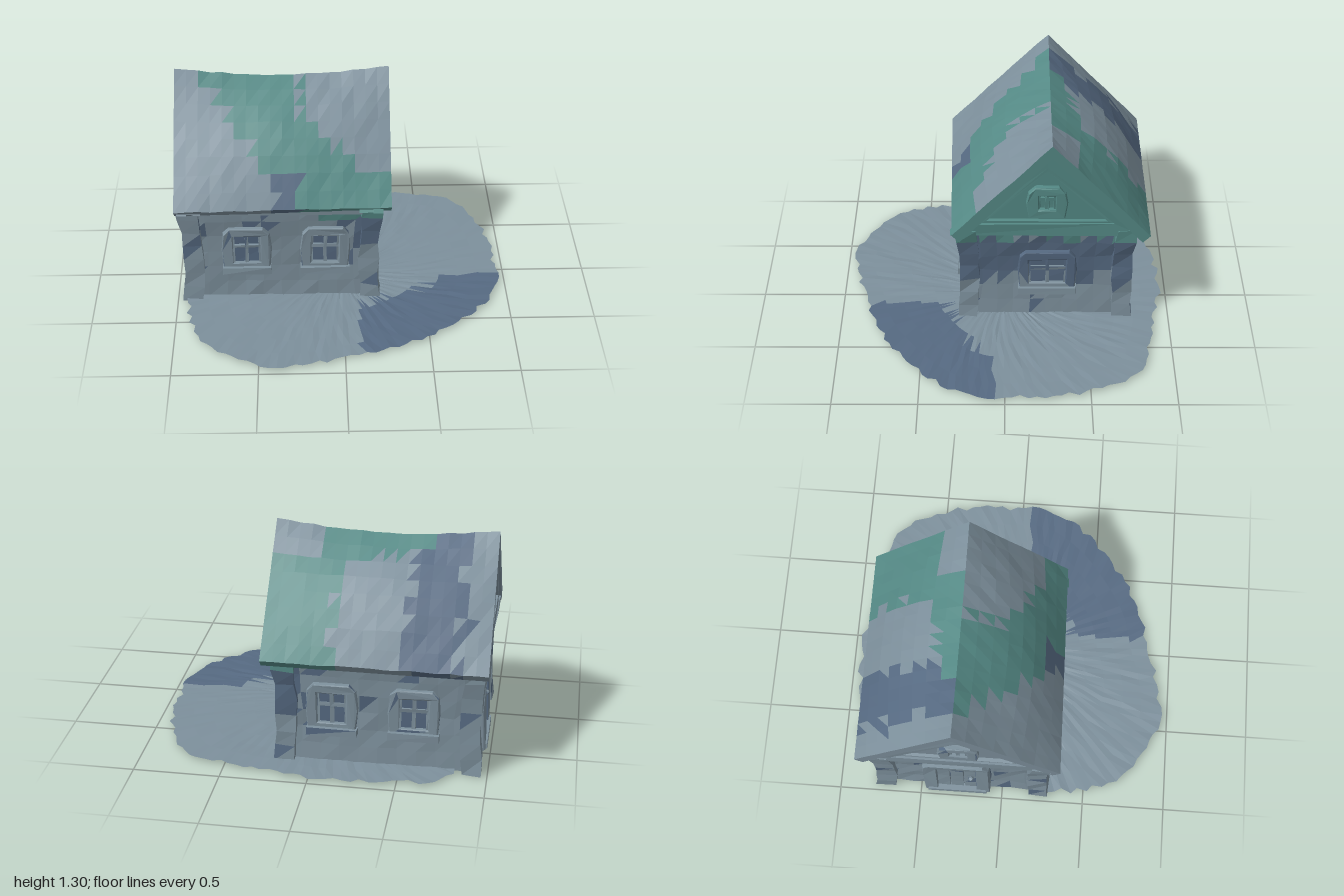
import * as THREE from 'three';

const GREY = 0x7d909c, TEAL = 0x558a86, BLUE = 0x566a82;
const CX = -0.37, CZ = -0.245;      // centre of the house
const HX = 0.56, HZ = 0.495;        // half size of the wall body

// repeatable noise in -1..1 from a position
function noise(x, y, z) {
  const s = Math.sin(Math.round(x * 500) * 12.99 + Math.round(y * 500) * 78.23 + Math.round(z * 500) * 37.72) * 43758.55;
  return (s - Math.floor(s)) * 2 - 1;
}

const materials = {};
function material(color) {
  materials[color] ??= new THREE.MeshStandardMaterial({ color, flatShading: true, side: THREE.DoubleSide });
  return materials[color];
}

// splits a geometry into one mesh per colour, chosen at each triangle's centre
function painted(name, geometry, colorAt) {
  const pos = (geometry.index ? geometry.toNonIndexed() : geometry).attributes.position.array;
  const buckets = new Map();
  for (let i = 0; i < pos.length; i += 9) {
    const mid = [0, 1, 2].map(k => (pos[i + k] + pos[i + 3 + k] + pos[i + 6 + k]) / 3);
    const color = colorAt(...mid);
    if (!buckets.has(color)) buckets.set(color, []);
    for (let k = 0; k < 9; k++) buckets.get(color).push(pos[i + k]);
  }
  const group = new THREE.Group();
  group.name = name;
  for (const [color, points] of buckets) {
    const g = new THREE.BufferGeometry();
    g.setAttribute('position', new THREE.Float32BufferAttribute(points, 3));
    g.computeVertexNormals();
    const mesh = new THREE.Mesh(g, material(color));
    mesh.name = name + 'Surface';
    group.add(mesh);
  }
  return group;
}

// pinches the walls at mid height, flares them at the top and roughens them
function warp(geometry, rough = 0.006) {
  const p = geometry.attributes.position;
  for (let i = 0; i < p.count; i++) {
    const x = p.getX(i), y = p.getY(i), z = p.getZ(i);
    const t = THREE.MathUtils.clamp(y / 0.65, 0, 1);
    const k = 1 - 0.04 * Math.sin(Math.PI * t) + 0.02 * t;
    p.setXYZ(i, CX + (x - CX) * k + rough * noise(x, y, z),
      y < 0.02 ? y : y + rough * noise(y, z, x), CZ + (z - CZ) * k + rough * noise(z, x, y));
  }
  return geometry;
}

function wallColor(x, y, z) {
  const n = noise(x, y, z);
  if (x > 0.1) {
    if (y > 0.62 + 0.04 * n) return TEAL;
    if (y > 0.33 + 0.08 * n && y < 0.6) return BLUE;
  }
  if (z > 0.15 && x > -0.15 && y > 0.55) return TEAL;
  return n > 0.86 ? BLUE : GREY;
}

// places a geometry built in (along, up, outward) coordinates against a wall
function onWall(angle, geometry) {
  return geometry.rotateY(angle).translate(CX, 0, CZ);
}
const block = (w, h, d, x, y, z) => new THREE.BoxGeometry(w, h, d, 1, Math.max(1, Math.round(h / 0.1)), 1).translate(x, y, z);
const polygon = points => points.map(([x, y]) => new THREE.Vector2(x, y));

// a chunky frame with chamfered corners around a rectangular opening
function frameGeometry(w, h, t, depth, open = false) {
  const a = w / 2, b = h / 2, c = 0.035;
  const low = open ? -b + 0.001 : -b + t;
  const shape = new THREE.Shape(polygon([[-a, -b], [a, -b], [a + 0.012, 0], [a, b - c], [a - c, b], [-a + c, b], [-a, b - c], [-a - 0.012, 0]]));
  shape.holes.push(new THREE.Path(polygon([[-a + t, low], [-a + t, b - t], [a - t, b - t], [a - t, low]])));
  return new THREE.ExtrudeGeometry(shape, { depth, bevelEnabled: true, bevelSize: 0.006, bevelThickness: 0.006, bevelSegments: 1 });
}

function makeWindow(name, angle, u, y, w, h, out, sill = true) {
  const group = new THREE.Group();
  group.name = name;
  const t = 0.045;
  const add = (part, g, color = wallColor) => group.add(painted(part, warp(onWall(angle, g), 0.003), color));
  add('windowFrame', frameGeometry(w, h, t, 0.035).translate(u, y, out - 0.008));
  add('windowPane', block(w - t, h - t, 0.01, u, y, out + 0.001), (x, py) => (x > 0.1 && py > 0.65 ? TEAL : BLUE));
  add('uprightBar', block(0.022, h - t, 0.022, u, y, out + 0.01));
  add('crossBar', block(w - t, 0.022, 0.02, u, y + 0.02, out + 0.01));
  for (const s of [-1, 1]) {
    add('sashSide', block(0.018, h - 2 * t, 0.018, u + s * (w / 2 - t - 0.008), y, out + 0.01));
  }
  if (sill) add('windowSill', block(w + 0.03, 0.045, 0.06, u, y - h / 2 + 0.005, out + 0.025));
  return group;
}

function makeDoor(angle, u, out) {
  const group = new THREE.Group();
  group.name = 'door';
  const add = (part, g) => group.add(painted(part, warp(onWall(angle, g), 0.003), wallColor));
  add('doorFrame', frameGeometry(0.39, 0.5, 0.07, 0.04, true).translate(u, 0.26, out - 0.008));
  for (let i = -1; i <= 1; i++) add('doorPlank', block(0.08, 0.43, 0.025, u + i * 0.085, 0.225, out + 0.006));
  add('doorHandle', new THREE.IcosahedronGeometry(0.018, 0).translate(u + 0.09, 0.24, out + 0.035));
  add('doorStep', block(0.36, 0.03, 0.06, u, 0.025, out + 0.02));
  return group;
}

// gable wall with a raised triangular trim
function makeGable(angle) {
  const group = new THREE.Group();
  group.name = 'gable';
  const tri = (half, low, top) => polygon([[-half, low], [half, low], [0, top]]);
  const add = (part, shape, depth, z) => group.add(painted(part,
    warp(onWall(angle, new THREE.ExtrudeGeometry(shape, { depth, bevelEnabled: false }).translate(0, 0, z)), 0.004), wallColor));
  add('gableWall', new THREE.Shape(tri(0.55, 0.645, 1.2)), 0.1, HX - 0.1);
  const outer = new THREE.Shape(tri(0.56, 0.645, 1.22));
  outer.holes.push(new THREE.Path(tri(0.39, 0.725, 1.125)));
  add('gableTrim', outer, 0.055, HX - 0.02);
  const inner = new THREE.Shape(tri(0.41, 0.71, 1.14));
  inner.holes.push(new THREE.Path(tri(0.35, 0.74, 1.095)));
  add('innerTrim', inner, 0.03, HX - 0.01);
  return group;
}

// thick sagging roof built from one closed cross-section per station
function makeRoof() {
  const N = 8, STATIONS = 18, x0 = -0.99, x1 = 0.285, sections = [];
  for (let i = 0; i <= STATIONS; i++) {
    const t = i / STATIONS, swell = Math.sin(Math.PI * t), outer = [], inner = [];
    const x = THREE.MathUtils.lerp(x0, x1, t);
    for (let j = -N; j <= N; j++) {
      const s = 1 - Math.abs(j) / N, side = j < 0 ? 1 : -1;
      const bulge = 0.05 * swell * Math.sin(Math.PI * s);
      const ridge = 1.305 - 0.05 * swell;
      const reach = (side > 0 ? 0.615 - 0.03 * t : 0.585) * (1 - s);
      const y = 0.68 + (ridge - 0.68) * s + bulge, z = -0.27 + side * (reach + (s < 1 ? bulge : 0));
      const wob = 0.005 * noise(x, y, z);
      outer.push([x, y + wob, z]);
      inner.push([x, y - 0.05 - 0.035 * s, z - side * 0.045 * (1 - s)]);
    }
    sections.push(outer.concat(inner.reverse()));
  }
  const pts = [], M = 4 * N + 2;
  const quad = (a, b, c, d) => pts.push(...a, ...b, ...c, ...a, ...c, ...d);
  for (let i = 0; i < STATIONS; i++) {
    const A = sections[i], B = sections[i + 1];
    for (let j = 0; j < M; j++) quad(A[j], B[j], B[(j + 1) % M], A[(j + 1) % M]);
  }
  const L = sections[0], R = sections[STATIONS];
  for (let j = 0; j < 2 * N; j++) {
    const k = M - 1 - j;
    quad(R[j], R[k], R[k - 1], R[j + 1]);
    quad(L[j + 1], L[k - 1], L[k], L[j]);
  }
  const g = new THREE.BufferGeometry();
  g.setAttribute('position', new THREE.Float32BufferAttribute(pts, 3));
  return painted('roof', g, (x, y, z) => {
    const n = 0.06 * noise(x, y, z);
    if (x > 0.27) return TEAL;
    if (z > -0.27) {
      const from = -0.85 + (1.3 - y) * 0.9, to = -0.25 + Math.max(0, 1.1 - y) * 1.6;
      if (Math.abs(x + 0.37 + n) < 0.08 && y < 0.88) return BLUE;
      return x + n > from && x + n < to ? TEAL : GREY;
    }
    if (x + n > -0.12 && z < -0.42) return TEAL;
    if (x + n > -0.6 && x < 0 && z > -0.45 + 0.3 * (-0.1 - x) * 0.5) return TEAL;
    return x + n > -0.83 && x + n < -0.52 ? BLUE : GREY;
  });
}

// flat patch of ground with a ragged outline
function makeGround() {
  const outline = new THREE.CatmullRomCurve3([
    [-0.93, 0.37], [-0.84, 0.68], [-0.7, 0.84], [-0.46, 0.95], [-0.2, 0.93], [0, 0.87], [0.3, 0.79], [0.54, 0.65],
    [0.78, 0.45], [0.94, 0.2], [0.95, -0.15], [0.91, -0.45], [0.8, -0.7], [0.7, -0.8], [0.43, -0.87], [0.2, -0.91],
    [0, -0.96], [-0.3, -0.95], [-0.5, -0.91], [-0.68, -0.92], [-0.8, -0.8], [-0.86, -0.5], [-0.88, 0],
  ].map(([x, z]) => new THREE.Vector3(x, 0, z)), true);
  const SEG = 130, RINGS = 8, pts = [];
  const edge = outline.getSpacedPoints(SEG);
  const at = (i, r) => {
    const p = edge[i % SEG], k = r / RINGS;
    const m = k * (1 + (r === RINGS ? 0.02 * noise(p.x, 0, p.z) : 0));
    return [p.x * m, 0.02 + (r ? 0.003 * noise(p.x, r, p.z) : 0), p.z * m];
  };
  for (let i = 0; i < SEG; i++) for (let r = 0; r < RINGS; r++) {
    const a = at(i, r), b = at(i, r + 1), c = at(i + 1, r + 1), d = at(i + 1, r);
    pts.push(...a, ...b, ...c);
    if (r) pts.push(...a, ...c, ...d);
  }
  const g = new THREE.BufferGeometry();
  g.setAttribute('position', new THREE.Float32BufferAttribute(pts, 3));
  return painted('ground', g, (x, y, z) =>
    (z > 0.43 - 0.5 * x + 0.04 * noise(x, y, z) && x > 0.1 && z > 0.06 ? BLUE : GREY));
}

export function createModel() {
  const model = new THREE.Group();
  model.name = 'cottage';
  model.add(makeGround(), makeRoof());

  // walls and corner posts
  model.add(painted('walls', warp(new THREE.BoxGeometry(HX * 2, 0.65, HZ * 2, 10, 6, 10).translate(CX, 0.335, CZ)), wallColor));
  for (const sx of [-1, 1]) for (const sz of [-1, 1]) {
    const post = new THREE.BoxGeometry(0.12, 0.68, 0.12, 1, 7, 1).translate(CX + sx * 0.54, 0.345, CZ + sz * 0.47);
    model.add(painted('cornerPost', warp(post, 0.009), wallColor));
  }

  // beams under the eaves, gables and windows
  for (const angle of [0, Math.PI]) {
    model.add(painted('eaveBeam', warp(onWall(angle, block(1.08, 0.05, 0.06, 0, 0.645, HZ))), wallColor));
    for (const x of [-0.58, -0.1]) {
      model.add(makeWindow('window', angle, (x - CX) * Math.cos(angle), 0.36, 0.27, 0.29, HZ));
    }
  }
  for (const angle of [Math.PI / 2, -Math.PI / 2]) {
    model.add(makeGable(angle));
    model.add(makeWindow('gableWindow', angle, 0, 0.875, 0.2, 0.2, HX, false));
  }
  model.add(makeWindow('sideWindow', Math.PI / 2, 0.01, 0.35, 0.33, 0.28, HX));
  model.add(makeDoor(-Math.PI / 2, -0.03, HX));
  return model;
}
